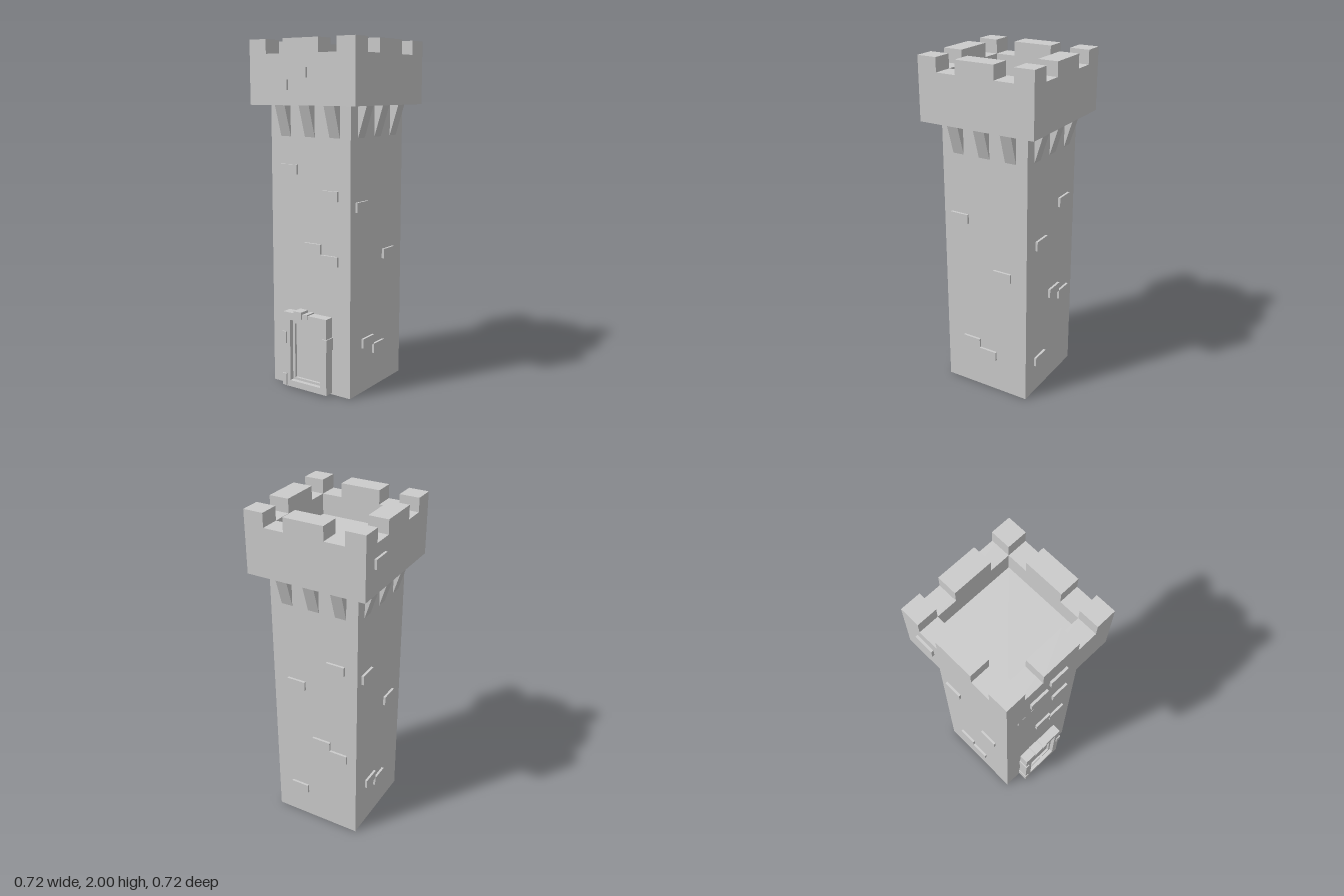
import * as THREE from 'three';

export function createModel() {
  const root = new THREE.Group();
  root.name = 'tower';
  root.position.set(0.006, 0, -0.007);
  const model = new THREE.Group();
  model.add(root);
  const mat = new THREE.MeshStandardMaterial({ color: 0xcccccc, flatShading: true });
  const SHAFT = 0.272, CROWN = 0.355, INNER = 0.238;

  const add = (parent, name, geo) => {
    const mesh = new THREE.Mesh(geo, mat);
    mesh.name = name;
    parent.add(mesh);
    return mesh;
  };
  // box given by its lower and upper limits
  const block = (parent, name, x0, x1, y0, y1, z0, z1) =>
    add(parent, name, new THREE.BoxGeometry(x1 - x0, y1 - y0, z1 - z0))
      .position.set((x0 + x1) / 2, (y0 + y1) / 2, (z0 + z1) / 2);
  const rect = (Type, x0, x1, y0, y1) => {
    const s = new Type();
    s.moveTo(x0, y0).lineTo(x1, y0).lineTo(x1, y1).lineTo(x0, y1).closePath();
    return s;
  };
  // rectangular ring extruded along z
  const ring = (outer, inner, depth) => {
    const s = rect(THREE.Shape, ...outer);
    s.holes.push(rect(THREE.Path, ...inner));
    return new THREE.ExtrudeGeometry(s, { depth, bevelEnabled: false });
  };

  // shaft, platform and parapet wall
  block(root, 'shaft', -SHAFT, SHAFT, 0, 1.64, -SHAFT, SHAFT);
  block(root, 'platform', -CROWN, CROWN, 1.64, 1.8, -CROWN, CROWN);
  const wall = ring([-CROWN, CROWN, -CROWN, CROWN], [-INNER, INNER, -INNER, INNER], 0.12);
  add(root, 'parapet', wall.rotateX(-Math.PI / 2)).position.y = 1.8;

  // wedge-shaped corbel under the crown
  const wedge = new THREE.Shape();
  wedge.moveTo(-0.01, 1.465).lineTo(0, 1.465).lineTo(0.055, 1.64).lineTo(-0.01, 1.64).closePath();
  const corbel = new THREE.ExtrudeGeometry(wedge, { depth: 0.068, bevelEnabled: false });
  corbel.rotateY(-Math.PI / 2).translate(0.034, 0, SHAFT);

  // raised bricks on each side: [offset along the face, height]
  const flank = [[-0.166, 1.087], [0.115, 0.782], [-0.097, 0.294], [0.014, 0.236]];
  const sides = [
    { name: 'front', turn: 0, crown: [[-0.141, 1.75], [-0.011, 1.817]],
      shaft: [[-0.141, 1.28], [0.137, 1.147], [0.021, 0.841], [0.137, 0.782]] },
    { name: 'left', turn: 1, crown: [], shaft: flank },
    { name: 'back', turn: 2, crown: [],
      shaft: [[-0.119, 0.97], [0.138, 1.147], [0.042, 0.597], [0.155, 0.54], [-0.115, 0.207]] },
    { name: 'right', turn: 3, crown: [[-0.208, 1.817]], shaft: flank },
  ];
  for (const side of sides) {
    const g = new THREE.Group();
    g.name = side.name + 'Side';
    g.rotation.y = side.turn * Math.PI / 2;
    root.add(g);
    // one corner and one middle merlon per side
    block(g, 'cornerMerlon', -CROWN, -INNER, 1.92, 2, INNER, CROWN);
    block(g, 'middleMerlon', -0.118, 0.118, 1.92, 2, INNER, CROWN);
    for (const u of [-0.167, 0, 0.167]) add(g, 'corbel', corbel).position.x = u;
    for (const [list, face] of [[side.shaft, SHAFT], [side.crown, CROWN]])
      for (const [u, y] of list)
        block(g, 'brick', u - 0.057, u + 0.057, y - 0.028, y + 0.028, face - 0.01, face + 0.014);
  }

  // doorway: stone surround, inner trim and recessed door
  const door = new THREE.Group();
  door.name = 'doorway';
  root.add(door);
  add(door, 'doorSurround', ring([-0.153, 0.15, 0.01, 0.457], [-0.106, 0.108, 0.048, 0.414], 0.069))
    .position.z = 0.262;
  add(door, 'doorTrim', ring([-0.106, 0.108, 0.048, 0.414], [-0.09, 0.094, 0.062, 0.388], 0.043))
    .position.z = 0.262;
  block(door, 'doorPanel', -0.09, 0.094, 0.062, 0.388, 0.262, 0.29);
  // stones standing proud of the surround
  const stones = [
    [-0.075, -0.02, 0.43, 0.472], [-0.003, 0.022, 0.435, 0.464],
    [-0.159, -0.13, 0.27, 0.34], [-0.159, -0.13, 0.015, 0.085],
    [0.125, 0.157, 0.27, 0.34],
  ];
  for (const s of stones) block(door, 'surroundStone', ...s, 0.265, 0.338);

  return model;
}
